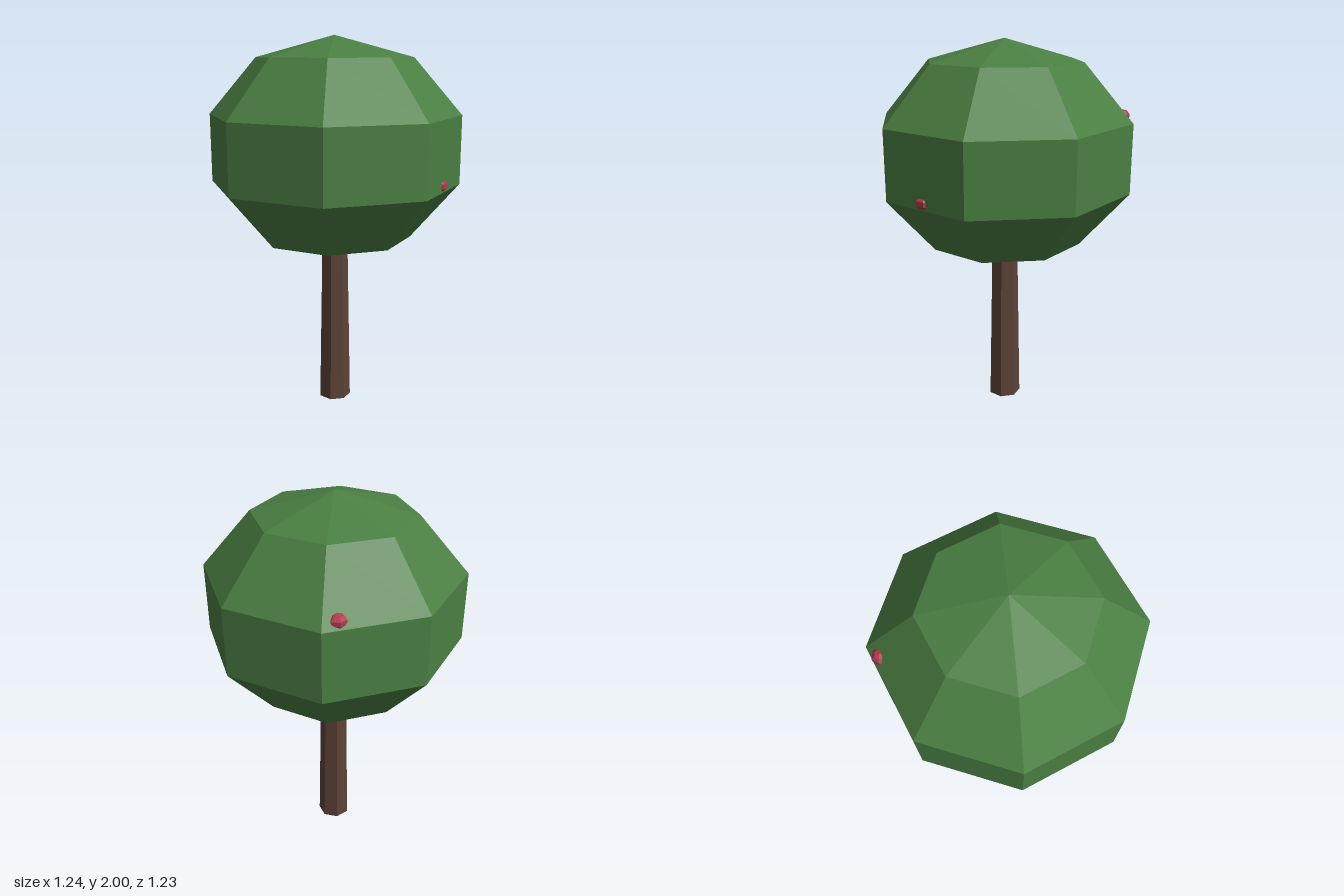
import * as THREE from 'three';

export function createModel() {
  const tree = new THREE.Group();
  tree.name = 'tree';

  const material = (name, color) => {
    const m = new THREE.MeshStandardMaterial({ color, flatShading: true });
    m.name = name;
    return m;
  };
  const leafGreen = material('leafGreen', 0x4a7f42);
  const barkBrown = material('barkBrown', 0x5d4337);
  const berryRed = material('berryRed', 0xb23a4e);

  const add = (name, geometry, mat, x, y, z) => {
    const mesh = new THREE.Mesh(geometry, mat);
    mesh.name = name;
    mesh.position.set(x, y, z);
    tree.add(mesh);
    return mesh;
  };

  // Seven-sided tapering trunk, one corner pointing to -x, its top inside the crown
  const trunkHeight = 1;
  add('trunk', new THREE.CylinderGeometry(0.07, 0.089, trunkHeight, 7, 1, false, -Math.PI / 2),
    barkBrown, -0.005, trunkHeight / 2, 0);

  // Eight-sided crown, slightly flattened, with flat sides facing the axes
  const crown = new THREE.SphereGeometry(0.7, 8, 5);
  crown.rotateY(Math.PI / 8);
  crown.scale(1, 0.836, 1);
  add('crown', crown, leafGreen, -0.005, 1.415, 0);

  // Small fruits, mostly sunk into the crown
  const fruit = (name, radius, turn, x, y, z) => {
    const g = new THREE.SphereGeometry(radius, 6, 5);
    g.scale(1, 0.8, 1);
    g.rotateY(turn);
    add(name, g, berryRed, x, y, z);
  };
  fruit('sideFruit', 0.05, Math.PI / 6, 0.579, 1.267, 0.015);
  fruit('backFruit', 0.045, Math.PI / 12, -0.292, 1.622, -0.525);

  return tree;
}
